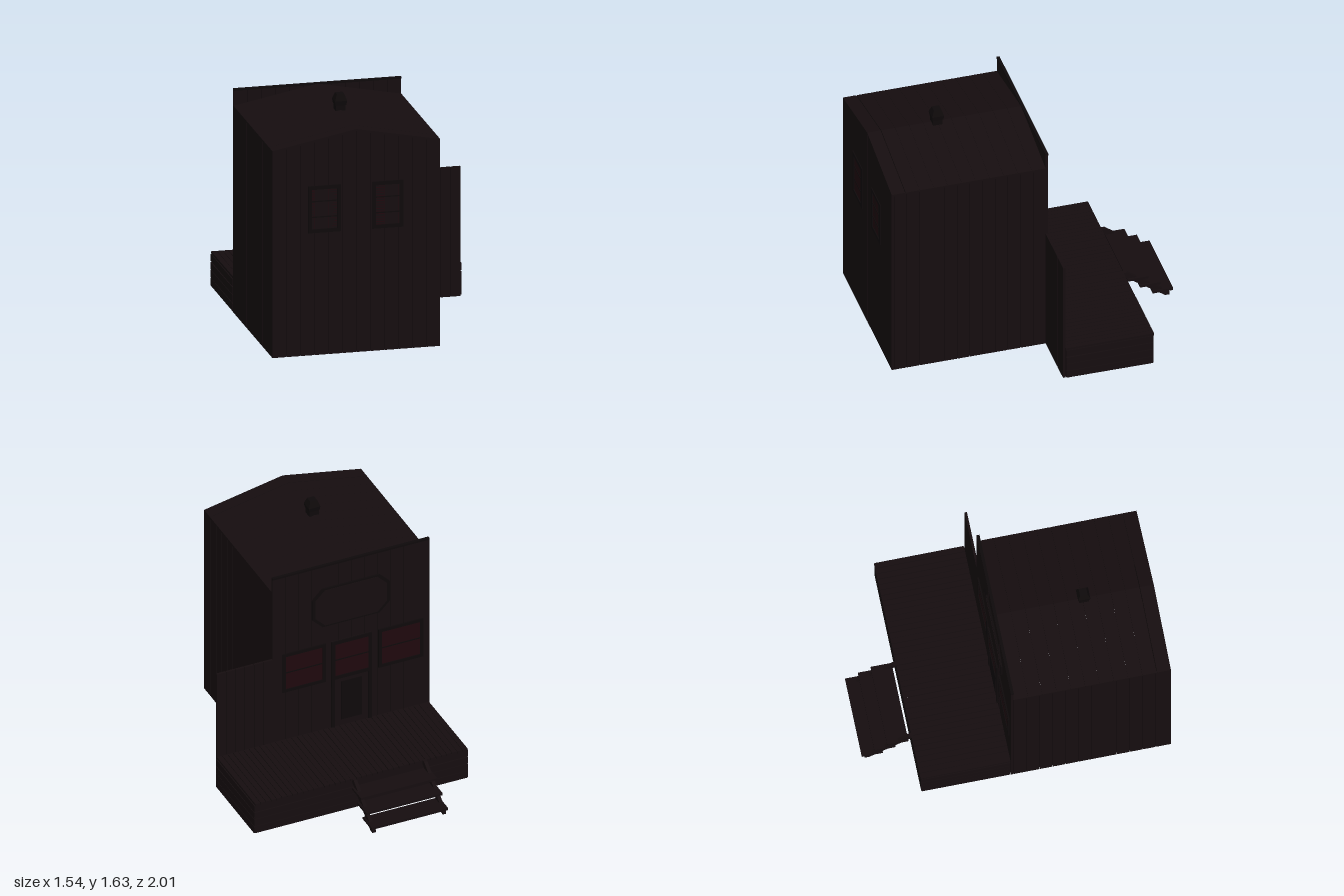
import * as THREE from 'three';

const wood = new THREE.MeshStandardMaterial({ color: 0x150d0f, flatShading: true });
const trim = new THREE.MeshStandardMaterial({ color: 0x0e090a, flatShading: true });
const glass = new THREE.MeshStandardMaterial({ color: 0x1e080d, flatShading: true });

// House extents
const X0 = -0.77, X1 = 0.36, XC = -0.205, ZB = -0.065, ZF = 1.0;
const EAVE = 1.41, RIDGE = 1.52, DECK = 0.235;
const roofY = x => RIDGE - (RIDGE - EAVE) * Math.abs(x - XC) / (X1 - XC);

let seed = 7;
const rand = () => (seed = (seed * 16807) % 2147483647) / 2147483647;

function group(parent, name) {
  const g = new THREE.Group();
  g.name = name;
  parent.add(g);
  return g;
}

// Box given by its minimum and maximum corners
function box(parent, name, a, b, mat = wood) {
  const m = new THREE.Mesh(new THREE.BoxGeometry(b[0] - a[0], b[1] - a[1], b[2] - a[2]), mat);
  m.name = name;
  m.position.set((a[0] + b[0]) / 2, (a[1] + b[1]) / 2, (a[2] + b[2]) / 2);
  parent.add(m);
  return m;
}

function extrude(parent, name, pts, depth, z, mat = wood) {
  const shape = new THREE.Shape(pts.map(p => new THREE.Vector2(p[0], p[1])));
  const m = new THREE.Mesh(new THREE.ExtrudeGeometry(shape, { depth, bevelEnabled: false }), mat);
  m.name = name;
  m.position.z = z;
  parent.add(m);
  return m;
}

// Wall of upright planks along x, with a top height given by a function
function plankWall(parent, name, x0, x1, count, top, z, gap = 0.003) {
  const g = group(parent, name), w = (x1 - x0) / count;
  for (let i = 0; i < count; i++) {
    const a = x0 + i * w + (i ? gap / 2 : 0), b = x0 + (i + 1) * w - (i < count - 1 ? gap / 2 : 0);
    extrude(g, 'plank', [[a, 0], [b, 0], [b, top(b)], [a, top(a)]], 0.016, z);
  }
}

// Framed pane on a wall; dir is the way the wall faces along z
function windowUnit(parent, name, x0, x1, y0, y1, z, dir, border, bars) {
  const g = group(parent, name);
  const slab = (n, a, b, c, d, t, mat) =>
    box(g, n, [a, c, Math.min(z, z + dir * t)], [b, d, Math.max(z, z + dir * t)], mat);
  slab('pane', x0 + border, x1 - border, y0 + border, y1 - border, 0.004, glass);
  slab('frameSide', x0, x0 + border, y0, y1, 0.01, trim);
  slab('frameSide', x1 - border, x1, y0, y1, 0.01, trim);
  slab('frameTop', x0 + border, x1 - border, y1 - border, y1, 0.01, trim);
  slab('frameBottom', x0 + border, x1 - border, y0, y0 + border, 0.01, trim);
  for (let i = 1; i <= bars; i++) {
    const y = y0 + (y1 - y0) * i / (bars + 1);
    slab('glazingBar', x0 + border, x1 - border, y - 0.004, y + 0.004, 0.007, trim);
  }
}

export function createModel() {
  const model = new THREE.Group();
  model.name = 'plankBuilding';

  // Gable wall, false front and side fence
  plankWall(model, 'gableWall', X0, X1, 12, roofY, ZF - 0.016);
  plankWall(model, 'falseFront', X0, X1, 12, () => 1.525, ZB);
  plankWall(model, 'fence', X1, 0.76, 6, () => 0.885, ZB);
  box(model, 'falseFrontCap', [X0, 1.515, ZB - 0.002], [X1, 1.528, ZB + 0.018], trim);

  // Long side walls
  for (const [x, name] of [[X0, 'rightWall'], [X1 - 0.016, 'leftWall']]) {
    const g = group(model, name), n = 12, z0 = ZB + 0.016, w = (ZF - 0.016 - z0) / n;
    for (let i = 0; i < n; i++)
      box(g, 'plank', [x, 0, z0 + i * w + 0.0015], [x + 0.016, EAVE - 0.004, z0 + (i + 1) * w - 0.0015]);
  }

  // Roof boards, both slopes in one bent strip per row
  const roof = group(model, 'roof'), rows = 11, rw = (ZF - ZB - 0.016) / rows;
  for (let i = 0; i < rows; i++) {
    const pts = [[X0, EAVE], [X0, EAVE - 0.014], [XC, RIDGE - 0.014], [X1, EAVE - 0.014], [X1, EAVE], [XC, RIDGE]];
    const lift = i === rows - 1 ? 0.004 : 0.001;
    extrude(roof, 'roofBoard', pts, rw - lift, ZB + 0.016 + i * rw + lift).position.y = 0.003;
  }

  // Chimney: square stack with a flared, tapered pot
  const chimney = group(model, 'chimney');
  for (const [rt, rb, y0, y1] of [[0.033, 0.033, 1.47, 1.56], [0.041, 0.036, 1.555, 1.585], [0.025, 0.041, 1.585, 1.63]]) {
    const geo = new THREE.CylinderGeometry(rt * Math.SQRT2, rb * Math.SQRT2, y1 - y0, 4);
    const m = new THREE.Mesh(geo.rotateY(Math.PI / 4), trim);
    m.name = 'chimneyStage';
    m.position.set(-0.2, (y0 + y1) / 2, 0.53);
    chimney.add(m);
  }

  // Gable windows
  windowUnit(model, 'gableWindow', -0.53, -0.31, 0.835, 1.155, ZF - 0.004, 1, 0.025, 2);
  windowUnit(model, 'gableWindow', -0.10, 0.11, 0.835, 1.155, ZF - 0.004, 1, 0.025, 2);

  // Shop windows and door behind the porch
  windowUnit(model, 'shopWindow', -0.02, 0.29, 0.61, 0.91, ZB, -1, 0.022, 1);
  windowUnit(model, 'shopWindow', -0.72, -0.40, 0.61, 0.91, ZB, -1, 0.022, 1);
  const door = group(model, 'door');
  box(door, 'doorLeaf', [-0.35, DECK, ZB - 0.006], [-0.06, 0.91, ZB]);
  windowUnit(door, 'doorWindow', -0.35, -0.06, 0.61, 0.91, ZB - 0.004, -1, 0.025, 1);
  box(door, 'doorPanel', [-0.28, 0.28, ZB - 0.01], [-0.13, 0.58, ZB], trim);
  for (const x of [-0.35, -0.085])
    box(door, 'doorJamb', [x, DECK, ZB - 0.012], [x + 0.025, 0.61, ZB], trim);

  // Blank board with cut corners
  const hx = 0.28, hy = 0.15, c = 0.075;
  const oct = [[hx - c, -hy], [hx, c - hy], [hx, hy - c], [hx - c, hy],
    [c - hx, hy], [-hx, hy - c], [-hx, c - hy], [c - hx, -hy]];
  const at = s => oct.map(([x, y]) => [-0.2 + x * s, 1.2 + y * s]);
  extrude(model, 'signBoard', at(1), 0.012, ZB - 0.012, trim);
  extrude(model, 'signPanel', at(0.92), 0.004, ZB - 0.015);

  // Porch floor: narrow boards with slightly uneven gaps
  const porch = group(model, 'porch'), n = 40, bw = 1.53 / n;
  for (let i = 0; i < n; i++) {
    const x = -0.765 + i * bw;
    const b = box(porch, 'floorBoard', [x + 0.001, DECK - 0.016, -0.668], [x + bw - 0.001 - 0.003 * rand(), DECK, -0.068]);
    b.rotation.y = (rand() - 0.5) * 0.008;
  }

  // Porch skirt: four rows of boards on three sides, with corner posts
  for (let i = 0; i < 4; i++) {
    const y = 0.003 + i * 0.056, h = 0.048 + rand() * 0.005;
    box(porch, 'skirtBoard', [-0.765, y, -0.664], [0.765, y + h, -0.65]);
    for (const x of [-0.77, 0.756]) {
      const b = box(porch, 'skirtBoard', [x, y, -0.66], [x + 0.014, y + h, -0.07]);
      b.rotation.x = (rand() - 0.5) * 0.008;
    }
  }
  for (const x of [-0.755, 0.725])
    for (const z of [-0.65, -0.10])
      box(porch, 'cornerPost', [x, 0, z], [x + 0.03, DECK - 0.016, z + 0.03]);

  // Steps: two sloping stringers and three treads
  const steps = group(model, 'steps');
  for (const x of [-0.465, 0.042]) {
    const pts = [[0.66, 0.235], [0.69, 0.235], [0.98, 0.02], [0.98, 0], [0.95, 0], [0.66, 0.21]];
    const s = extrude(steps, 'stringer', pts, 0.024, 0);
    s.rotation.y = Math.PI / 2;
    s.position.x = x;
  }
  for (const [y, z] of [[0.178, -0.76], [0.113, -0.845], [0.048, -0.93]])
    box(steps, 'tread', [-0.47, y - 0.008, z - 0.07], [0.08, y + 0.008, z + 0.07]);

  return model;
}
